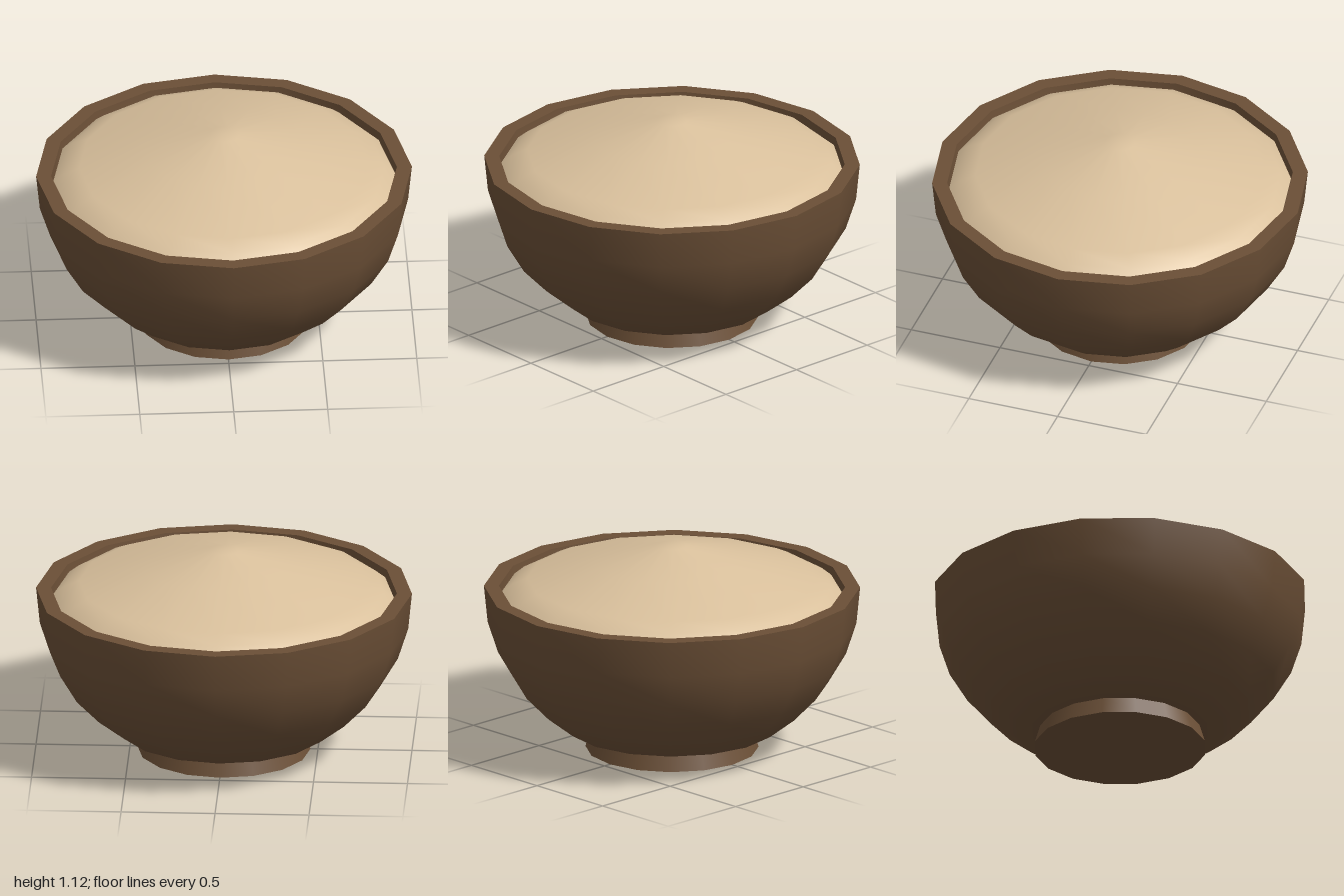
import * as THREE from 'three';

const SIDES = 16;

export function createModel() {
  const model = new THREE.Group();
  model.name = 'filledBowl';

  const wood = new THREE.MeshStandardMaterial({ color: 0x6b4f36 });
  wood.name = 'dark wood';
  const grain = new THREE.MeshStandardMaterial({ color: 0xd9c09c });
  grain.name = 'pale filling';

  // Turned surface from [radius, height] points; separate calls keep creases sharp
  function turned(name, points, material) {
    const profile = points.map(([r, y]) => new THREE.Vector2(r, y));
    const mesh = new THREE.Mesh(new THREE.LatheGeometry(profile, SIDES), material);
    mesh.name = name;
    model.add(mesh);
  }

  // Foot: flared ring with a closed underside
  turned('footBase', [[0, 0], [0.46, 0]], wood);
  turned('footSide', [[0.46, 0], [0.43, 0.1]], wood);

  // Bowl: rounded outside, flat rim, inner wall
  turned('bowlOutside', [
    [0, 0.08], [0.43, 0.095], [0.565, 0.12], [0.705, 0.23], [0.83, 0.36],
    [0.925, 0.52], [0.98, 0.69], [1, 0.89],
  ], wood);
  turned('bowlRim', [[1, 0.89], [0.92, 0.89]], wood);
  turned('bowlInside', [
    [0.92, 0.89], [0.9, 0.7], [0.84, 0.52], [0.73, 0.36], [0.55, 0.22], [0, 0.16],
  ], wood);

  // Heaped filling
  turned('filling', [
    [0.91, 0.85], [0.855, 0.895], [0.77, 0.935], [0.42, 1.035], [0.08, 1.12], [0, 1.12],
  ], grain);

  return model;
}
